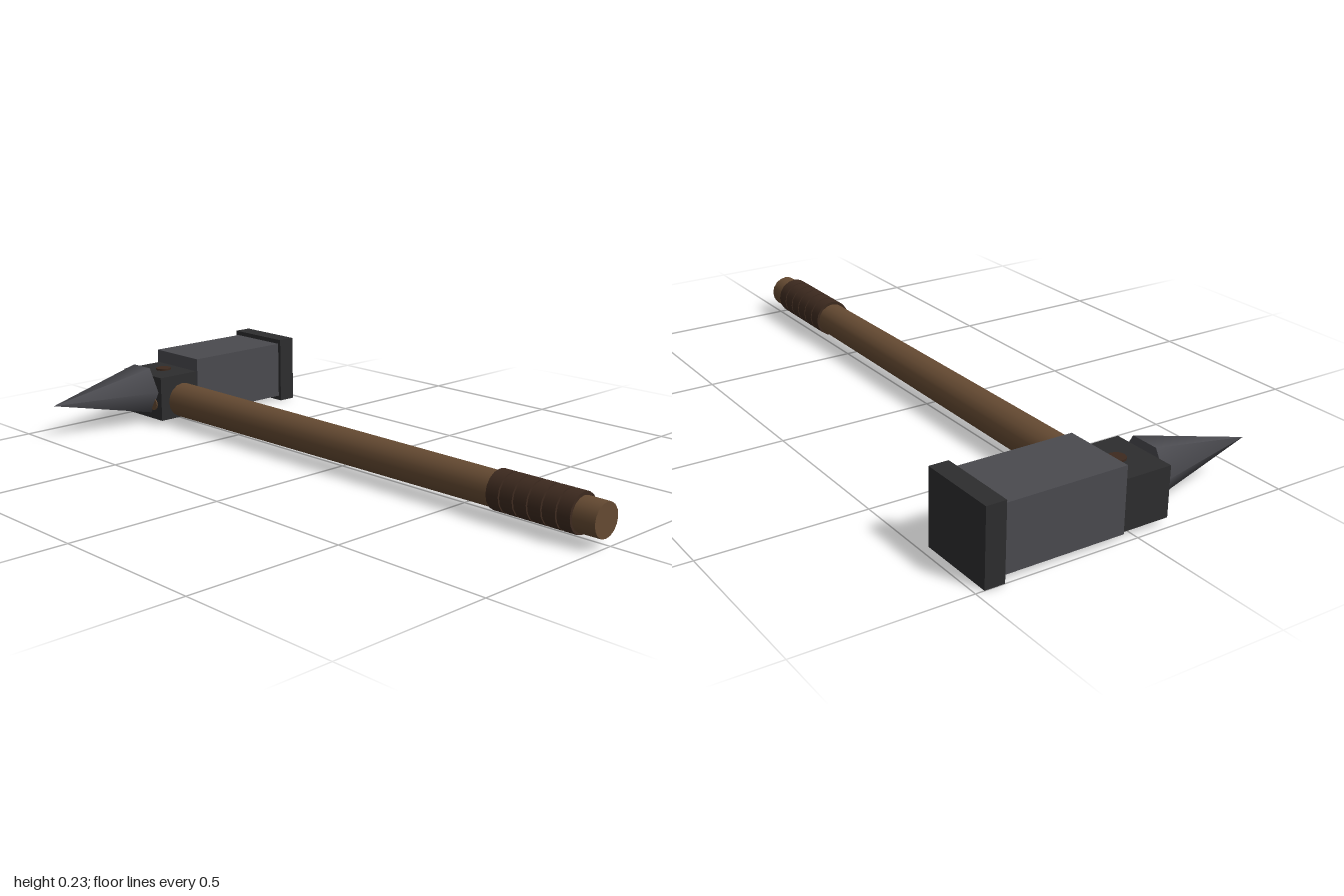
import * as THREE from 'three';

const mat = (name, color) => {
  const m = new THREE.MeshStandardMaterial({ color });
  m.name = name;
  return m;
};

export function createModel() {
  const steel = mat('steel', 0x4a4a4f);
  const darkIron = mat('darkIron', 0x2d2d2e);
  const wood = mat('wood', 0x654a32);
  const leather = mat('leather', 0x3d2a1f);

  const group = new THREE.Group();
  group.name = 'warHammer';
  const HEAD_Z = -0.876, AXIS_X = -0.023, AXIS_Y = 0.077;

  const add = (name, geometry, material, x, y, z) => {
    const mesh = new THREE.Mesh(geometry, material);
    mesh.name = name;
    mesh.position.set(x, y, z);
    group.add(mesh);
    return mesh;
  };
  // Box given by its x range, y range and depth, centred on the head
  const headBox = (name, material, x0, x1, y0, y1, depth) =>
    add(name, new THREE.BoxGeometry(x1 - x0, y1 - y0, depth), material,
      (x0 + x1) / 2, (y0 + y1) / 2, HEAD_Z);

  // Head: socket block, striking block and end plate
  headBox('socketBlock', darkIron, -0.114, 0.038, 0.017, 0.167, 0.21);
  headBox('strikingBlock', steel, 0.038, 0.414, 0.016, 0.211, 0.225);
  headBox('facePlate', darkIron, 0.414, 0.474, 0, 0.226, 0.248);

  // Six-sided spike with smooth shading, pointing to -x
  const spike = new THREE.ConeGeometry(0.09, 0.36, 6).rotateZ(Math.PI / 2);
  add('spike', spike, steel, -0.294, 0.114, HEAD_Z);

  // Pins that lock the head to the handle
  add('topPin', new THREE.CylinderGeometry(0.026, 0.026, 0.04, 12), leather,
    AXIS_X, 0.153, HEAD_Z);
  add('sidePin', new THREE.CylinderGeometry(0.022, 0.022, 0.04, 12).rotateZ(Math.PI / 2),
    wood, -0.098, 0.07, -0.815);

  // Handle, slightly thicker toward the head
  const handle = new THREE.CylinderGeometry(0.051, 0.059, 1.86, 16).rotateX(Math.PI / 2);
  add('handle', handle, wood, AXIS_X, AXIS_Y, 0.07);

  // Leather grip rings
  const ring = new THREE.CylinderGeometry(0.06, 0.06, 0.043, 16).rotateX(Math.PI / 2);
  for (let i = 0; i < 6; i++) {
    add('gripRing' + (i + 1), ring, leather, AXIS_X, AXIS_Y + 0.002, 0.666 + i * 0.048);
  }
  return group;
}
